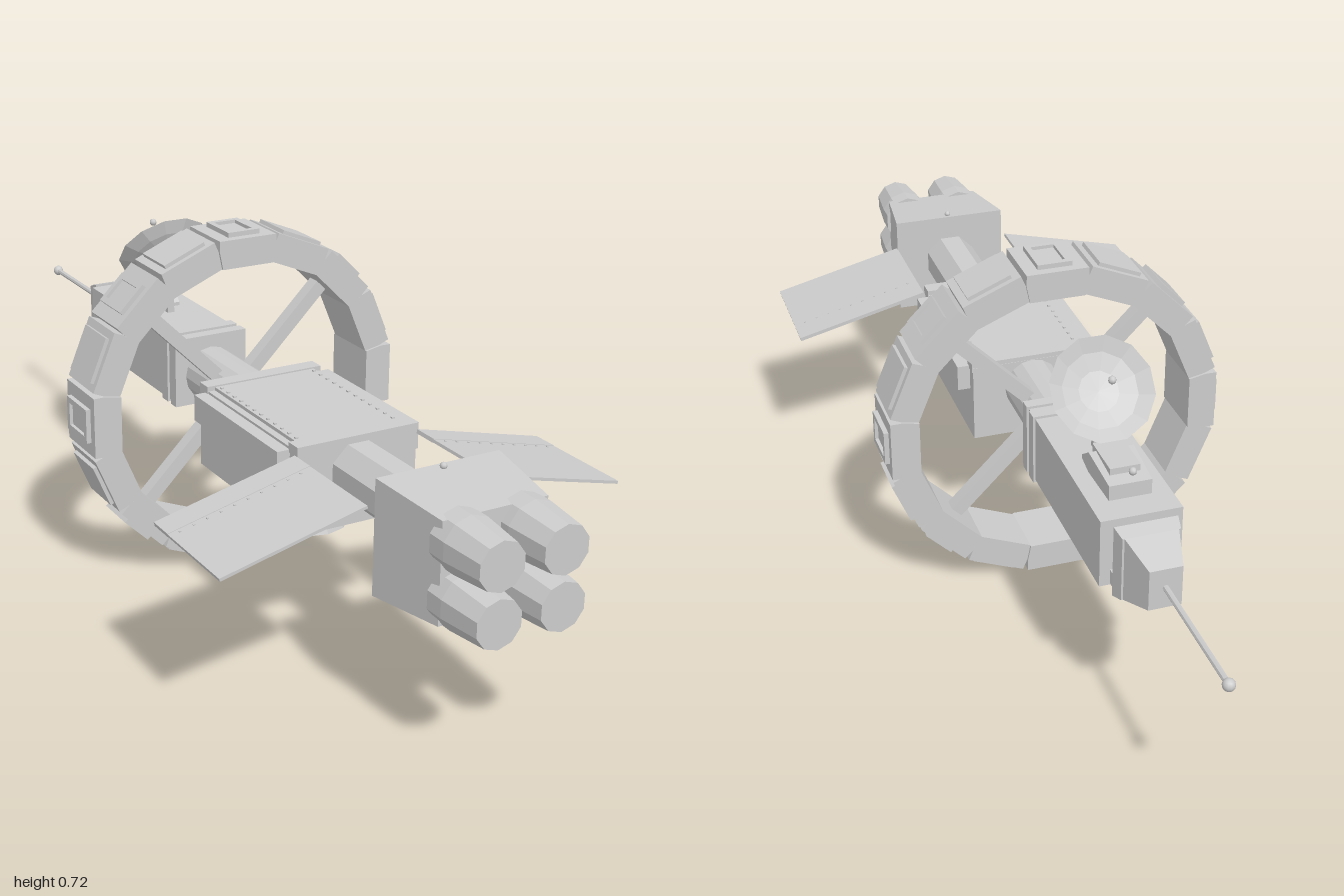
import * as THREE from 'three';

export function createModel() {
  const model = new THREE.Group();
  model.name = 'spaceStation';
  const hullGrey = new THREE.MeshStandardMaterial({ color: 0xcccccc, side: THREE.DoubleSide });
  hullGrey.name = 'hullGrey';

  function add(geo, name, x = 0, y = 0, z = 0, parent = model) {
    let g = geo;
    if (!(geo instanceof THREE.SphereGeometry)) {
      g = geo.index ? geo.toNonIndexed() : geo;
      g.computeVertexNormals();
    }
    const m = new THREE.Mesh(g, hullGrey);
    m.name = name;
    m.position.set(x, y, z);
    parent.add(m);
    return m;
  }
  // box given by its limits
  const block = (name, x0, x1, y0, y1, z0, z1, parent) =>
    add(new THREE.BoxGeometry(x1 - x0, y1 - y0, z1 - z0), name, (x0 + x1) / 2, (y0 + y1) / 2, (z0 + z1) / 2, parent);
  // box whose +z end is scaled to another half width and height
  function taper(name, z0, hx0, yA0, yB0, z1, hx1, yA1, yB1) {
    const g = new THREE.BoxGeometry(2, 1, 1), p = g.attributes.position;
    for (let i = 0; i < p.count; i++) {
      const far = p.getZ(i) > 0, up = p.getY(i) > 0;
      p.setXYZ(i, p.getX(i) * (far ? hx1 : hx0), far ? (up ? yB1 : yA1) : (up ? yB0 : yA0), far ? z1 : z0);
    }
    return add(g, name);
  }
  // prism or cone along z
  function tubeZ(name, x, y, z0, z1, r0, r1, sides, turn = 0) {
    const g = new THREE.CylinderGeometry(r1, r0, z1 - z0, sides);
    g.rotateY(turn).rotateX(Math.PI / 2);
    return add(g, name, x, y, (z0 + z1) / 2);
  }

  // spine and hub
  const oct = Math.PI / 8;
  tubeZ('rearSpine', 0, 0.365, 0.44, 0.73, 0.06, 0.06, 8, oct);
  tubeZ('hub', 0, 0.365, -0.16, 0.08, 0.06, 0.06, 16);

  // rotating habitat ring
  const ring = new THREE.Group();
  ring.name = 'habitatRing';
  ring.position.set(0, 0.36, -0.038);
  model.add(ring);
  const profile = new THREE.Shape([[-0.0577, 0.29], [0.0577, 0.29], [0.0648, 0.326], [0.0645, 0.35], [-0.0645, 0.35], [-0.0648, 0.326]]
    .map(([x, y]) => new THREE.Vector2(x, y)));
  for (let i = 0; i < 16; i++) {
    const segment = new THREE.Group();
    segment.name = 'ringSegment';
    segment.rotation.z = i * Math.PI / 8;
    ring.add(segment);
    const w = i % 4 === 0 ? 0.134 : 0.124;
    add(new THREE.ExtrudeGeometry(profile, { depth: w, bevelEnabled: false }), 'ringHull', 0, 0, -w / 2, segment);
    if (i % 2 === 0) {
      // square window frame with a recessed pane
      for (const s of [-1, 1]) {
        block('windowFrameSide', s * 0.03 - 0.006, s * 0.03 + 0.006, 0.348, 0.36, -0.048, 0.048, segment);
        block('windowFrameEnd', -0.036, 0.036, 0.348, 0.36, s * 0.042 - 0.006, s * 0.042 + 0.006, segment);
      }
      block('windowPane', -0.024, 0.024, 0.348, 0.353, -0.036, 0.036, segment);
    } else {
      block('ringPlate', -0.048, 0.048, 0.348, 0.358, -0.05, 0.05, segment);
    }
  }
  for (let i = 0; i < 4; i++) {
    const spoke = new THREE.Group();
    spoke.name = 'spoke';
    spoke.rotation.z = Math.PI / 4 + i * Math.PI / 2;
    ring.add(spoke);
    block('spokeBeam', -0.0145, 0.0145, 0.04, 0.292, -0.0145, 0.0145, spoke);
  }

  // forward command module
  block('commandModule', -0.08, 0.08, 0.305, 0.447, -0.585, -0.15);
  block('collarBack', -0.085, 0.085, 0.3, 0.452, -0.165, -0.14);
  block('collarFront', -0.085, 0.085, 0.3, 0.452, -0.207, -0.18);
  taper('noseNeck', -0.61, 0.055, 0.3, 0.33, -0.58, 0.06, 0.31, 0.34);
  taper('noseBase', -0.635, 0.056, 0.304, 0.437, -0.605, 0.062, 0.295, 0.445);
  taper('nose', -0.708, 0.032, 0.327, 0.41, -0.635, 0.052, 0.304, 0.437);
  tubeZ('probe', 0, 0.37, -0.985, -0.7, 0.006, 0.006, 8);
  add(new THREE.SphereGeometry(0.012, 12, 8), 'probeTip', 0, 0.37, -0.988);

  // dish antenna on its mount
  taper('dishMount', -0.525, 0.042, 0.44, 0.478, -0.42, 0.045, 0.44, 0.49);
  taper('dishMountSlope', -0.42, 0.045, 0.44, 0.49, -0.37, 0.04, 0.44, 0.455);
  block('dishMountCap', -0.03, 0.03, 0.478, 0.495, -0.495, -0.4);
  block('dishStrut', -0.008, 0.008, 0.44, 0.56, -0.345, -0.332);
  const dishPoints = [[0, -0.022], [0.04, -0.018], [0.075, -0.008], [0.104, 0.008]].map(([x, y]) => new THREE.Vector2(x, y));
  const dish = add(new THREE.LatheGeometry(dishPoints, 12), 'dish', 0, 0.585, -0.362);
  dish.geometry.rotateY(Math.PI / 12);
  dish.rotation.x = -0.88;
  add(new THREE.SphereGeometry(0.008, 8, 6), 'dishFeed', 0, 0.635, -0.417);
  add(new THREE.SphereGeometry(0.008, 8, 6), 'mountBeacon', 0, 0.508, -0.533);

  // cargo module
  block('cargoHull', -0.13, 0.13, 0.255, 0.425, 0.065, 0.46);
  block('cargoRoof', -0.115, 0.115, 0.42, 0.432, 0.1, 0.43);
  for (const z of [0.083, 0.443]) block('roofBand', -0.132, 0.132, 0.415, 0.435, z - 0.017, z + 0.017);
  for (const s of [-1, 1]) {
    block('sideRail', s * 0.1425 - 0.0145, s * 0.1425 + 0.0145, 0.365, 0.42, 0.09, 0.428);
    for (let i = 0; i < 12; i++)
      block('roofRivet', s * 0.107 - 0.003, s * 0.107 + 0.003, 0.43, 0.435, 0.112 + i * 0.027, 0.118 + i * 0.027);
  }

  // docking port under the cargo module
  block('portPlate', -0.09, 0.09, 0.241, 0.258, 0.15, 0.4);
  const port = [[0, 0.245], [0.062, 0.245], [0.062, 0.235], [0.07, 0.235], [0.073, 0.225], [0.085, 0.224], [0.085, 0.216], [0.073, 0.214], [0.083, 0.187], [0, 0.187]]
    .map(([x, y]) => new THREE.Vector2(x, y));
  add(new THREE.LatheGeometry(port, 12), 'dockingPort', 0, 0, 0.275);

  // solar wings, drooping outward
  for (const s of [-1, 1]) {
    const wing = new THREE.Group();
    wing.name = s > 0 ? 'leftWing' : 'rightWing';
    wing.position.set(s * 0.279, 0.38, 0.58);
    wing.rotation.z = -s * 0.24;
    model.add(wing);
    block('wingPanel', -0.149, 0.149, -0.003, 0.003, -0.07, 0.125, wing);
    block('wingLip', -0.149, 0.149, -0.004, 0.004, -0.125, -0.07, wing);
    for (let i = 0; i < 10; i++)
      block('wingRivet', -0.13 + i * 0.028, -0.126 + i * 0.028, -0.005, 0.005, -0.062, -0.058, wing);
  }

  // engine block with four nozzles
  taper('engineBlock', 0.72, 0.13, 0.25, 0.475, 0.89, 0.108, 0.264, 0.459);
  for (const x of [-0.065, 0.065]) for (const y of [0.309, 0.414]) {
    tubeZ('nozzleBase', x, y, 0.87, 0.91, 0.056, 0.056, 10);
    tubeZ('nozzle', x, y, 0.91, 1.0, 0.056, 0.047, 10);
  }
  add(new THREE.SphereGeometry(0.007, 8, 6), 'engineBeacon', 0, 0.477, 0.735);
  return model;
}
